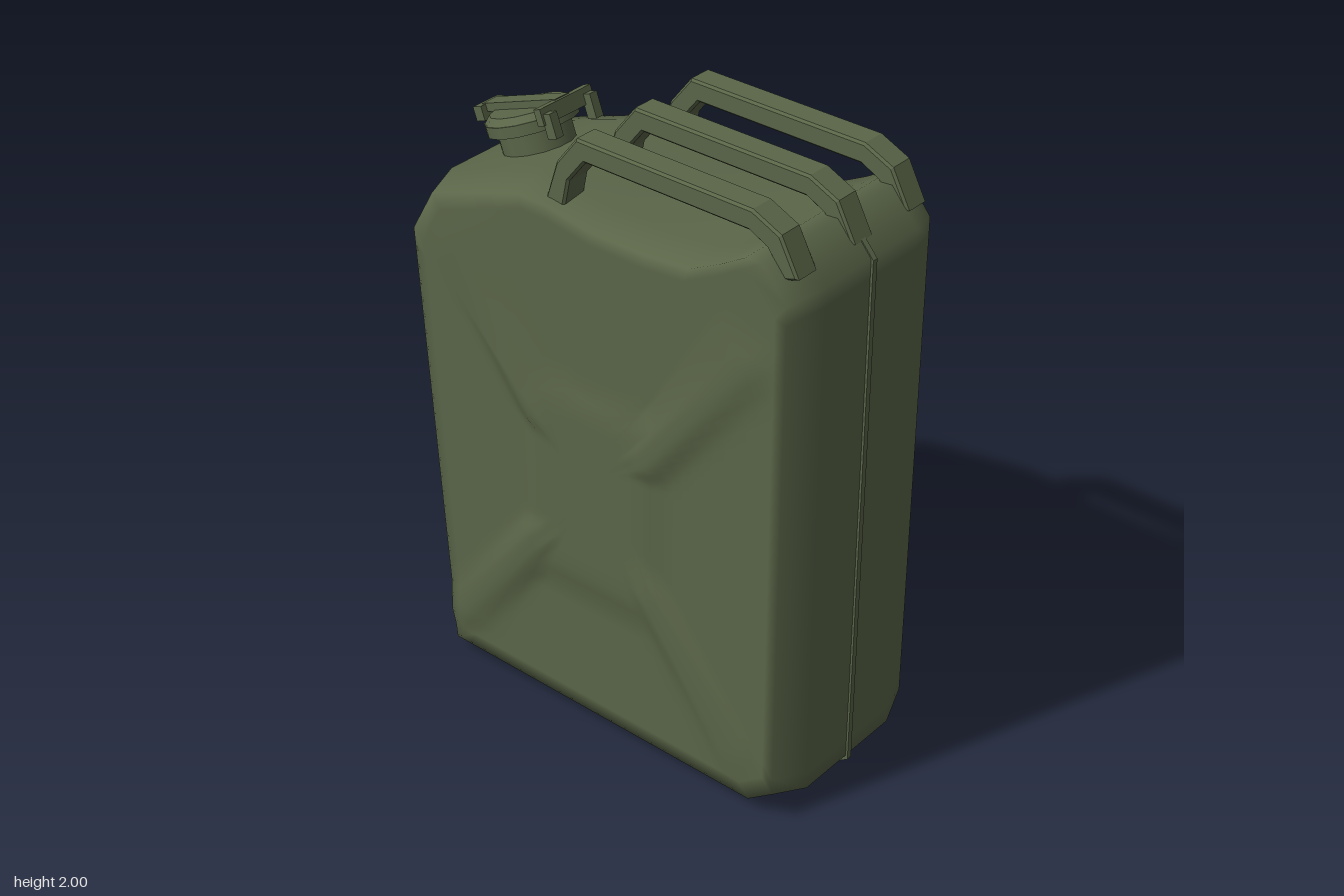
import * as THREE from 'three';

const olive = new THREE.MeshStandardMaterial({ color: 0x5a6548 });
olive.name = 'olive paint';

// Side outline of the can, counter-clockwise
const OUTLINE = [
  [-0.64, 0.0], [0.64, 0.0], [0.735, 0.07], [0.735, 1.8], [0.645, 1.905], [0.585, 1.9],
  [0.5, 1.85], [0.38, 1.79], [0.22, 1.775], [0, 1.775], [-0.17, 1.8], [-0.28, 1.8],
  [-0.42, 1.755], [-0.645, 1.68], [-0.735, 1.53],
];

function addMesh(parent, name, geometry, x = 0, y = 0, z = 0) {
  const mesh = new THREE.Mesh(geometry, olive);
  mesh.name = name;
  mesh.position.set(x, y, z);
  parent.add(mesh);
  return mesh;
}

// Extrude a point list, centred on z = 0
function plate(points, depth, bevel = 0) {
  const shape = new THREE.Shape(points.map(([x, y]) => new THREE.Vector2(x, y)));
  const geo = new THREE.ExtrudeGeometry(shape, {
    depth: depth - 2 * bevel, bevelEnabled: bevel > 0, bevelSize: bevel,
    bevelThickness: bevel, bevelOffset: -bevel, bevelSegments: 1,
  });
  return geo.translate(0, 0, -depth / 2 + bevel);
}

// Split only the long straight edges
function subdivide(points) {
  const out = [];
  points.forEach(([x, y], i) => {
    const [x2, y2] = points[(i + 1) % points.length];
    const length = Math.hypot(x2 - x, y2 - y);
    const n = length > 0.3 ? Math.ceil(length / 0.06) : 1;
    for (let k = 0; k < n; k++) out.push([x + (x2 - x) * k / n, y + (y2 - y) * k / n]);
  });
  return out;
}

// Height of the pressed cross and centre panel on the broad sides
const smooth = THREE.MathUtils.smoothstep;
function emboss(x, y) {
  const ax = Math.abs(x), ay = Math.abs(y - 0.86);
  const sx = 0.36, sy = 0.47;
  const t = THREE.MathUtils.clamp(((ax - 0.2) * sx + (ay - 0.22) * sy) / (sx * sx + sy * sy), 0, 1);
  const d = Math.hypot(ax - 0.2 - sx * t, ay - 0.22 - sy * t);
  const rib = (0.026 - 0.012 * t) * (1 - smooth(d, 0.02, 0.1));
  const panel = 0.016 * (1 - smooth(Math.max(ax - 0.2, ay - 0.3), 0, 0.08));
  return Math.max(rib, panel);
}

// Tank lofted through rings from the back panel to the front panel
function bodyGeometry() {
  const outer = subdivide(OUTLINE).map(([x, y]) => [x * 0.99, 0.012 + y * 0.995]);
  const inset = outer.map(([x, y]) => [x * 0.945, 0.045 + (y - 0.012) * 0.968]);
  const half = [outer.map(([x, y]) => [x, y, 0.2])];
  const steps = 18;
  for (let i = 0; i <= steps; i++) {
    const s = 1 - i / steps;
    half.push(inset.map(([px, py]) => {
      const x = px * s, y = 0.92 + (py - 0.92) * s;
      return [x, y, 0.318 + emboss(x, y)];
    }));
  }
  const back = half.map((ring) => ring.map(([x, y, z]) => [x, y, -z])).reverse();
  const rings = [...back, ...half];
  const n = outer.length, index = [];
  for (let i = 0; i < rings.length - 1; i++) {
    for (let j = 0; j < n; j++) {
      const a = i * n + j, b = i * n + (j + 1) % n;
      index.push(a, b, b + n, a, b + n, a + n);
    }
  }
  const geo = new THREE.BufferGeometry();
  geo.setAttribute('position', new THREE.Float32BufferAttribute(rings.flat(2), 3));
  geo.setIndex(index);
  geo.computeVertexNormals();
  return geo;
}

export function createModel() {
  const model = new THREE.Group();
  model.name = 'fuelCan';

  addMesh(model, 'tank', bodyGeometry());
  addMesh(model, 'weldSeam', plate(OUTLINE, 0.018));

  // Three carrying handles
  const handle = [
    [-0.19, 1.77], [-0.12, 1.77], [-0.1, 1.86], [-0.04, 1.935], [0.53, 1.935], [0.59, 1.905],
    [0.65, 1.83], [0.695, 1.845], [0.635, 1.957], [0.54, 2.0], [-0.07, 2.0], [-0.145, 1.905],
  ];
  for (const z of [-0.242, 0, 0.242]) addMesh(model, 'handle', plate(handle, 0.086, 0.007), 0, 0, z);

  // Tilted filler neck with its hinged cap
  const filler = new THREE.Group();
  filler.name = 'filler';
  filler.position.set(-0.47, 1.73, 0);
  filler.rotation.z = 0.35;
  model.add(filler);
  addMesh(filler, 'neck', new THREE.CylinderGeometry(0.112, 0.112, 0.14, 14), 0, 0.02, 0);
  addMesh(filler, 'capRim', new THREE.CylinderGeometry(0.14, 0.14, 0.035, 14), 0, 0.09, 0);
  addMesh(filler, 'capTop', new THREE.CylinderGeometry(0.118, 0.138, 0.022, 14), 0, 0.117, 0);
  addMesh(filler, 'capStrap', new THREE.BoxGeometry(0.31, 0.026, 0.06), -0.005, 0.137, 0);
  addMesh(filler, 'latch', new THREE.BoxGeometry(0.035, 0.045, 0.1), -0.163, 0.125, 0);
  addMesh(filler, 'hingeBar', new THREE.BoxGeometry(0.026, 0.05, 0.215), 0.15, 0.122, 0);
  for (const z of [-0.085, 0.085]) {
    addMesh(filler, 'hingeLug', new THREE.BoxGeometry(0.035, 0.075, 0.03), 0.172, 0.092, z);
  }
  return model;
}
